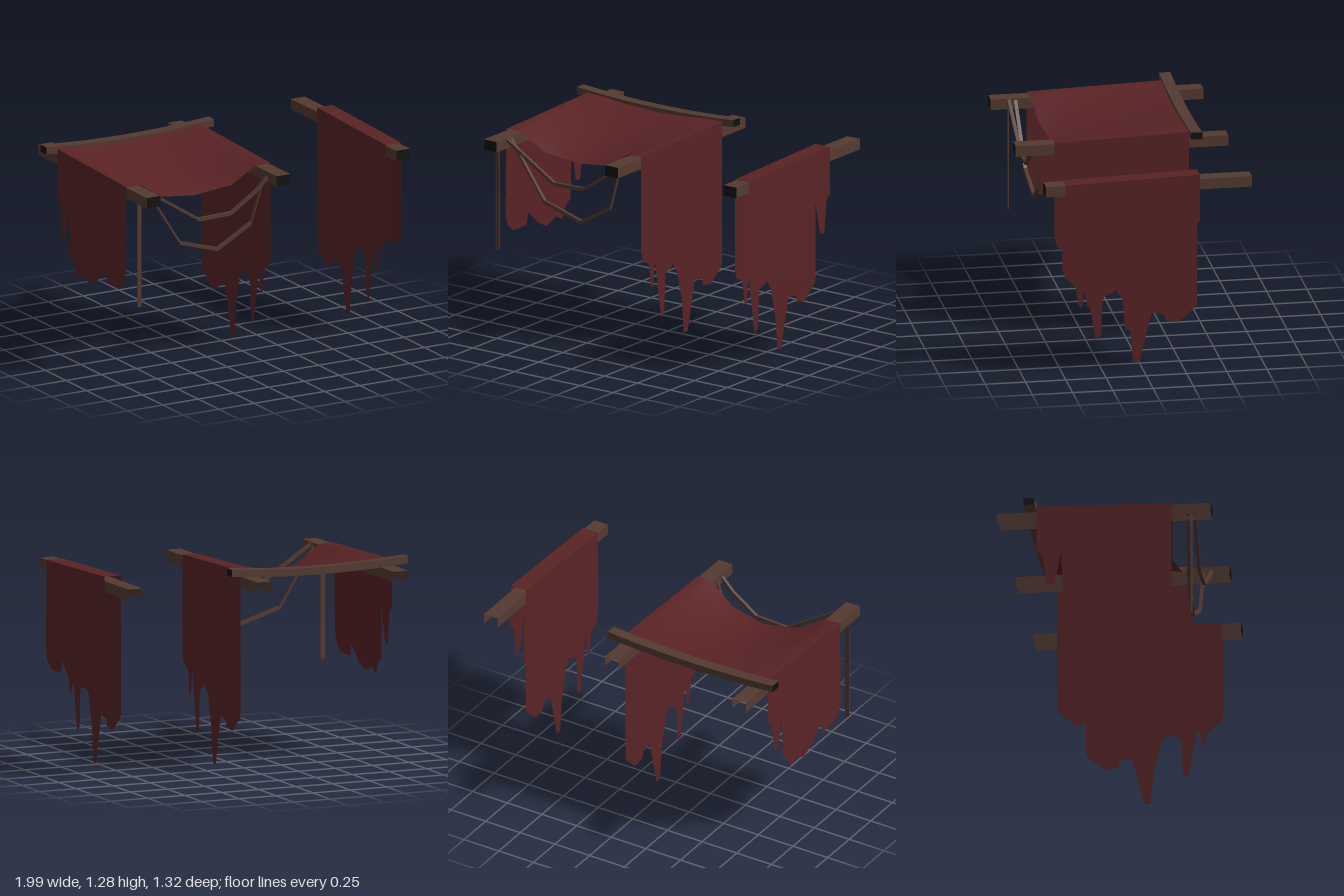
import * as THREE from 'three';

const cloth = new THREE.MeshStandardMaterial({ color: 0x5a2325, side: THREE.DoubleSide });
cloth.name = 'dark red cloth';
const wood = new THREE.MeshStandardMaterial({ color: 0x543a31, side: THREE.DoubleSide });
wood.name = 'brown wood';
const endGrain = new THREE.MeshStandardMaterial({ color: 0x101010, side: THREE.DoubleSide });
endGrain.name = 'black beam end';

// Torn hems as [z, y], from front to back
const longHem = [
  [0.42, 0.62], [0.40, 0.56], [0.34, 0.53], [0.32, 0.38], [0.298, 0.37], [0.277, 0.53],
  [0.213, 0.155], [0.178, 0.19], [0.175, 0.35], [0.167, 0.43], [0.115, 0.45], [0.09, 0.47],
  [0.047, 0.41], [0, 0.215], [-0.02, 0], [-0.06, 0], [-0.106, 0.194], [-0.134, 0.311],
  [-0.21, 0.3], [-0.22, 0.258], [-0.304, 0.244], [-0.417, 0.346],
];
const shortHem = [
  [0.5, 0.7], [0.48, 0.63], [0.42, 0.58], [0.28, 0.58], [0.265, 0.66], [0.17, 0.57],
  [0.07, 0.52], [-0.03, 0.56], [-0.09, 0.525], [-0.12, 0.6], [-0.172, 0.64], [-0.18, 0.96],
  [-0.225, 0.745], [-0.27, 0.735], [-0.295, 0.94], [-0.335, 0.975],
];
const shift = (hem, dz, dy) => hem.map(([z, y]) => [z + dz, y + dy]);

export function createModel() {
  const group = new THREE.Group();
  const add = (name, geometry, material) => {
    const mesh = new THREE.Mesh(geometry, material);
    mesh.name = name;
    group.add(mesh);
    return mesh;
  };

  // Hollow rail: open below and behind, dark cap at the front
  const rail = (name, x, top, bottom, front) => {
    const back = -0.66;
    const g = new THREE.BoxGeometry(0.097, top - bottom, front - back);
    const idx = Array.from(g.index.array);
    g.setIndex([...idx.slice(0, 18), ...idx.slice(24, 30)]);
    g.clearGroups();
    g.addGroup(0, 18, 0);
    g.addGroup(18, 6, 1);
    g.translate(x, (top + bottom) / 2, (front + back) / 2);
    add(name, g, [wood, endGrain]);
  };
  rail('rightRail', -0.868, 1.222, 1.155, 0.66);
  rail('middleRail', 0.053, 1.222, 1.155, 0.66);
  rail('leftRail', 0.925, 1.242, 1.175, 0.62);

  // Sagging cross beam with dark ends
  const beam = new THREE.BoxGeometry(1.19, 0.045, 0.07, 12, 1, 1);
  const p = beam.attributes.position;
  for (let i = 0; i < p.count; i++) {
    const t = p.getX(i) / 0.595;
    p.setY(i, p.getY(i) - 0.025 * Math.max(0, 1 - t * t));
  }
  beam.computeVertexNormals();
  beam.translate(-0.405, 1.2575, -0.45);
  add('crossBeam', beam, [endGrain, endGrain, wood, wood, wood, wood]);

  // Hanging torn panel at a given x; the top edge runs from front to back
  const panel = (name, x, hem, topFront, topBack, flare = 0) => {
    const front = hem[0][0], back = hem[hem.length - 1][0];
    const shape = new THREE.Shape([[front, topFront], ...hem, [back, topBack]]
      .map(([z, y]) => new THREE.Vector2(z, y)));
    const g = new THREE.ShapeGeometry(shape);
    const q = g.attributes.position;
    for (let i = 0; i < q.count; i++) {
      const z = q.getX(i), y = q.getY(i);
      q.setXYZ(i, x + flare * (1.25 - y), y, z);
    }
    g.computeVertexNormals();
    add(name, g, cloth);
  };
  panel('middleHanging', 0.103, longHem, 1.23, 1.257);
  panel('rightHanging', -0.921, shift(shortHem, -0.08, -0.02), 1.23, 1.257, -0.012);
  panel('leftInnerHanging', 0.873, shift(longHem, 0.08, 0.05), 1.247, 1.272);
  panel('leftOuterHanging', 0.982, shortHem, 1.247, 1.272, 0.012);

  // Cloth surface through a front and a back edge
  const sheet = (name, frontEdge, backEdge, rows) => {
    const n = frontEdge.length, pos = [], index = [];
    for (let r = 0; r <= rows; r++) {
      for (let c = 0; c < n; c++) {
        for (let k = 0; k < 3; k++) {
          pos.push(THREE.MathUtils.lerp(frontEdge[c][k], backEdge[c][k], r / rows));
        }
        if (r < rows && c < n - 1) {
          const a = r * n + c;
          index.push(a, a + 1, a + n, a + 1, a + n + 1, a + n);
        }
      }
    }
    const g = new THREE.BufferGeometry();
    g.setAttribute('position', new THREE.Float32BufferAttribute(pos, 3));
    g.setIndex(index);
    g.computeVertexNormals();
    add(name, g, cloth);
  };
  sheet('canopy',
    [[-0.921, 1.23, 0.42], [-0.82, 1.228, 0.415], [-0.65, 1.12, 0.39], [-0.405, 1.085, 0.36],
      [-0.16, 1.12, 0.39], [0, 1.228, 0.415], [0.103, 1.23, 0.42]],
    [[-0.921, 1.257, -0.42], [-0.82, 1.255, -0.42], [-0.65, 1.24, -0.42], [-0.405, 1.23, -0.42],
      [-0.16, 1.24, -0.42], [0, 1.255, -0.42], [0.103, 1.257, -0.42]], 6);
  sheet('leftRailCover', [[0.873, 1.247, 0.5], [0.982, 1.247, 0.5]],
    [[0.873, 1.272, -0.335], [0.982, 1.272, -0.335]], 1);

  // Slack straps strung between the two front rail ends; points are [x, y, z]
  const strap = (name, pts) => {
    const w = 0.011, pos = [], index = [];
    pts.forEach(([x, y, z], i) => {
      for (const [dy, dz] of [[w, w], [w, -w], [-w, -w], [-w, w]]) pos.push(x, y + dy, z + dz);
      if (i === 0) return;
      for (let k = 0; k < 4; k++) {
        const a = (i - 1) * 4 + k, b = (i - 1) * 4 + (k + 1) % 4;
        index.push(a, a + 4, b, b, a + 4, b + 4);
      }
    });
    let g = new THREE.BufferGeometry();
    g.setAttribute('position', new THREE.Float32BufferAttribute(pos, 3));
    g.setIndex(index);
    g = g.toNonIndexed();
    g.computeVertexNormals();
    add(name, g, wood);
  };
  strap('shallowStrap', [[-0.825, 1.21, 0.547], [-0.47, 0.985, 0.533], [-0.25, 0.992, 0.535],
    [-0.08, 1.105, 0.541], [0.01, 1.19, 0.547]]);
  strap('deepStrap', [[-0.825, 1.21, 0.507], [-0.58, 0.84, 0.485], [-0.31, 0.757, 0.476],
    [-0.08, 0.89, 0.487], [0.01, 1.19, 0.5]]);

  // Loose strap hanging straight down
  const loose = new THREE.BoxGeometry(0.03, 0.69, 0.006);
  loose.translate(-0.9, 0.835, 0.54);
  add('looseStrap', loose, wood);

  return group;
}
